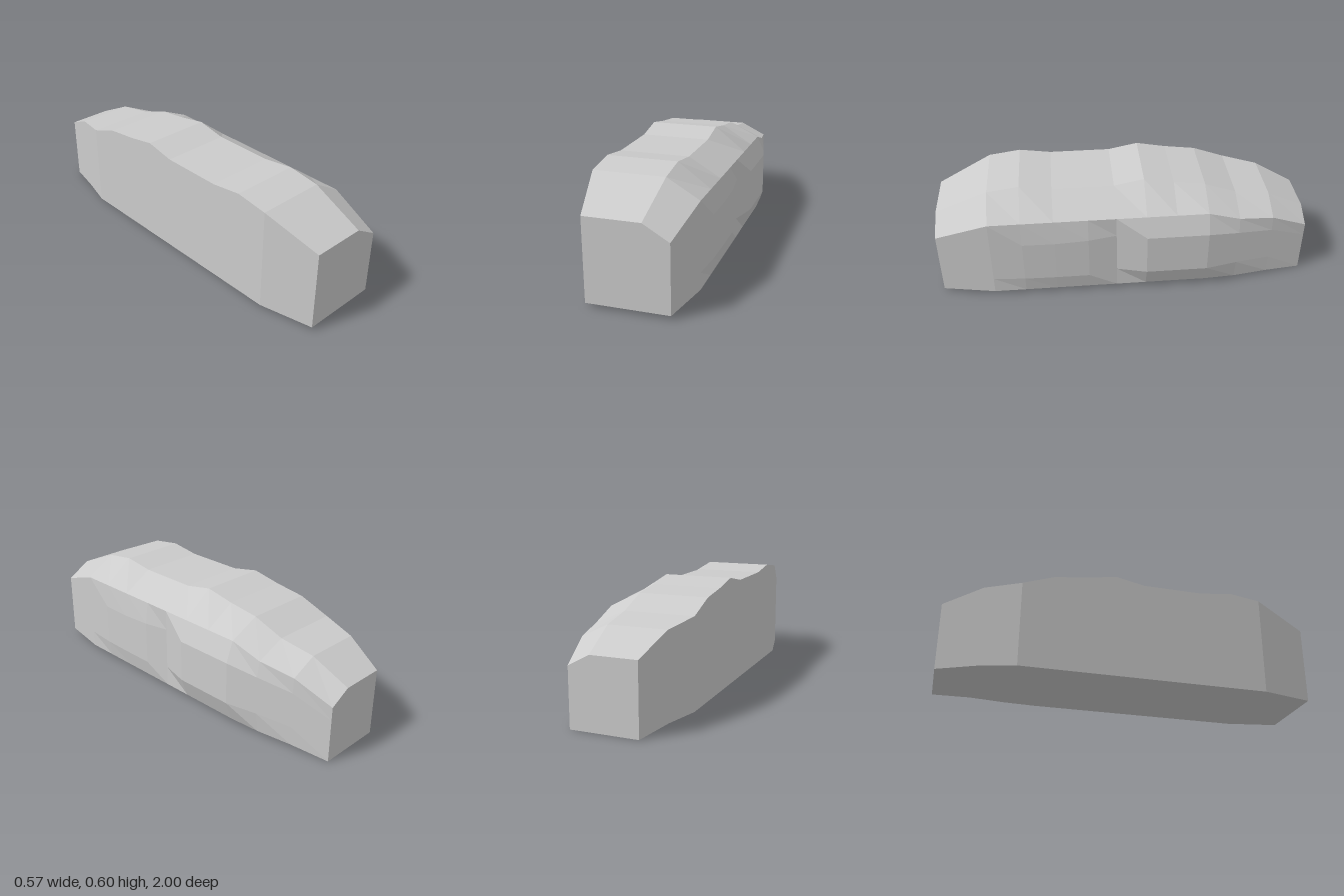
import * as THREE from 'three';

// Stations, front to back:
// z, base y, left x, sill x, belly x, belly low y, belly high y, shoulder x, shoulder y, roof x, roof y
const stations = [
  [1.00, 0.02, -0.222, 0.195, 0.195, 0.10, 0.28, 0.195, 0.37, 0.065, 0.447],
  [0.72, 0.02, -0.287, 0.245, 0.245, 0.11, 0.35, 0.245, 0.47, 0.08, 0.568],
  [0.55, 0.02, -0.287, 0.245, 0.259, 0.11, 0.34, 0.245, 0.47, 0.08, 0.592],
  [0.38, 0.02, -0.287, 0.245, 0.262, 0.11, 0.34, 0.245, 0.47, 0.08, 0.568],
  [0.20, 0.02, -0.287, 0.245, 0.262, 0.11, 0.35, 0.245, 0.47, 0.08, 0.568],
  [0.05, 0.02, -0.287, 0.245, 0.245, 0.13, 0.36, 0.245, 0.47, 0.08, 0.568],
  [-0.11, 0.02, -0.287, 0.245, 0.286, 0.13, 0.36, 0.245, 0.47, 0.08, 0.60],
  [-0.27, 0.02, -0.287, 0.245, 0.286, 0.13, 0.36, 0.245, 0.47, 0.08, 0.57],
  [-0.44, 0.02, -0.287, 0.245, 0.286, 0.13, 0.36, 0.245, 0.47, 0.08, 0.548],
  [-0.61, 0.02, -0.287, 0.235, 0.25, 0.13, 0.335, 0.235, 0.418, 0.078, 0.487],
  [-0.80, 0.018, -0.237, 0.205, 0.209, 0.12, 0.31, 0.205, 0.39, 0.068, 0.457],
  [-1.00, 0.00, -0.185, 0.165, 0.165, 0.10, 0.23, 0.165, 0.30, 0.055, 0.36],
];

// Outline of one station, anticlockwise seen from the front
function outline([z, base, left, sill, belly, low, high, shoulder, shoulderY, roof, roofY]) {
  return [
    [left, roofY], [left, base], [sill, base], [belly, low],
    [belly, high], [shoulder, shoulderY], [roof, roofY],
  ].map(([x, y]) => [x, y, z]);
}

// Skins the outlines and closes both ends
function loft(rings) {
  const position = [];
  const tri = (...corners) => corners.forEach((p) => position.push(...p));
  const n = rings[0].length;
  for (let i = 0; i < rings.length - 1; i++) {
    for (let j = 0; j < n; j++) {
      const k = (j + 1) % n;
      const [a, b] = [rings[i][j], rings[i][k]];
      const [c, d] = [rings[i + 1][j], rings[i + 1][k]];
      tri(a, c, b);
      tri(b, c, d);
    }
  }
  const front = rings[0], back = rings[rings.length - 1];
  for (let j = 1; j < n - 1; j++) {
    tri(front[0], front[j], front[j + 1]);
    tri(back[0], back[j + 1], back[j]);
  }
  const geometry = new THREE.BufferGeometry();
  geometry.setAttribute('position', new THREE.Float32BufferAttribute(position, 3));
  geometry.computeVertexNormals();
  return geometry;
}

export function createModel() {
  const group = new THREE.Group();
  group.name = 'model';
  const material = new THREE.MeshStandardMaterial({ color: 0xcccccc, flatShading: true });
  // One closed body with a chamfered shoulder and a bulging side
  const body = new THREE.Mesh(loft(stations.map(outline)), material);
  body.name = 'body';
  group.add(body);
  return group;
}
